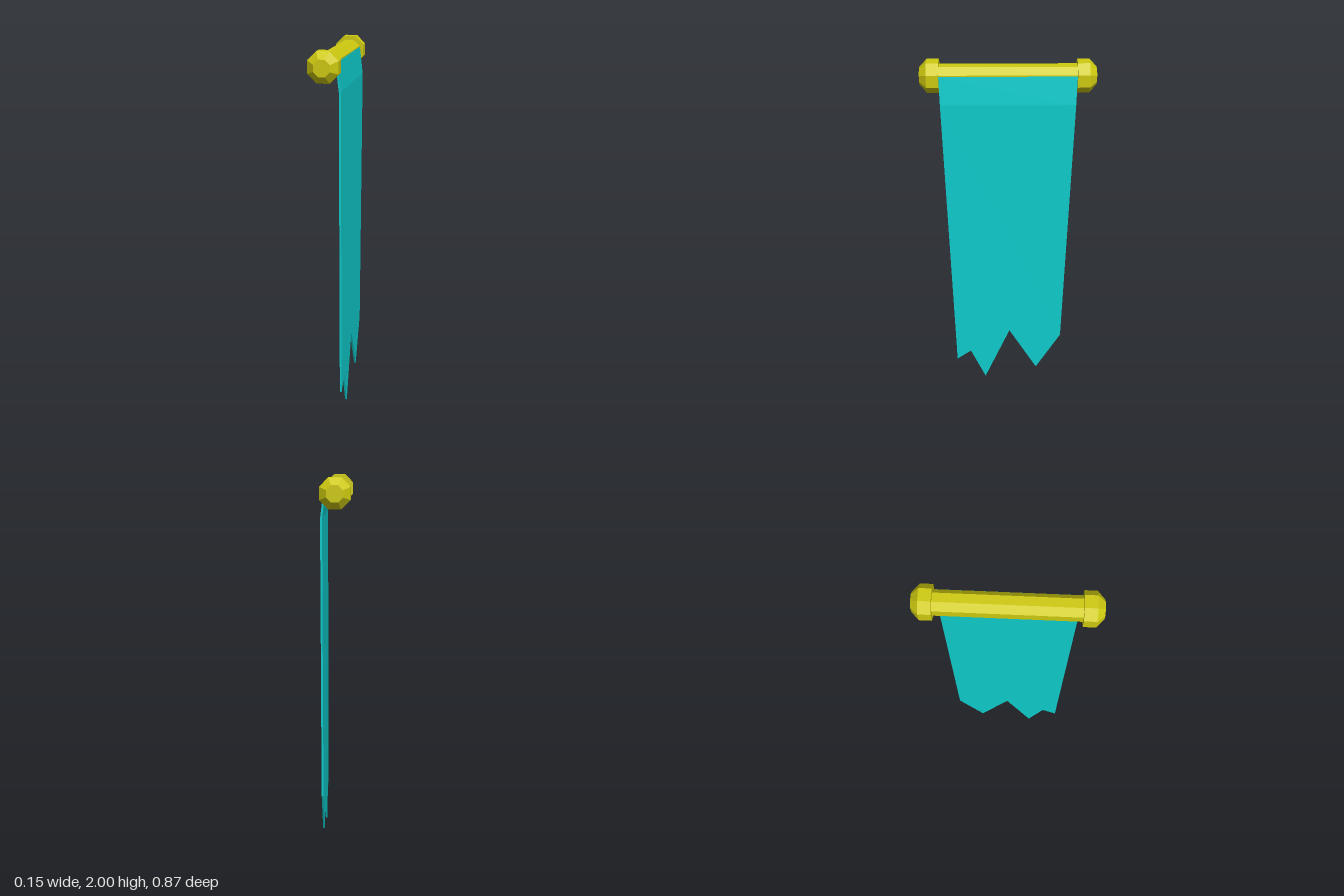
import * as THREE from 'three';

const ROD_Y = 1.925;
const OCT = Math.cos(Math.PI / 8); // flat-to-corner ratio of an octagon

export function createModel() {
  const group = new THREE.Group();
  const gold = new THREE.MeshStandardMaterial({ color: 0xcfcb10, flatShading: true });
  const teal = new THREE.MeshStandardMaterial({ color: 0x0fcccc, flatShading: true });

  const add = (name, geometry, material) => {
    const mesh = new THREE.Mesh(geometry, material);
    mesh.name = name;
    group.add(mesh);
    return mesh;
  };

  // Octagonal rod along z, flat side up
  const rod = new THREE.CylinderGeometry(0.055 / OCT, 0.055 / OCT, 0.7, 8);
  rod.rotateY(Math.PI / 8).rotateX(Math.PI / 2);
  add('rod', rod, gold).position.y = ROD_Y;

  // Chamfered octagonal knobs on both ends
  const profile = [[0, 0.34], [0.0765 / OCT, 0.34], [0.0765 / OCT, 0.4], [0.041 / OCT, 0.436], [0, 0.436]]
    .map(([r, y]) => new THREE.Vector2(r, y));
  for (const [name, side] of [['frontKnob', 1], ['backKnob', -1]]) {
    const knob = new THREE.LatheGeometry(profile, 8, Math.PI / 8);
    knob.rotateX(side * Math.PI / 2);
    add(name, knob, gold).position.y = ROD_Y;
  }

  // Thin cloth panel from [z, y] outline points; above the fold it leans in to the rod
  const FOLD = 1.8;
  const panel = (points) => {
    const shape = new THREE.Shape(points.map(([z, y]) => new THREE.Vector2(-z, y)));
    const geometry = new THREE.ExtrudeGeometry(shape, { depth: 0.01, bevelEnabled: false });
    geometry.rotateY(Math.PI / 2);
    const pos = geometry.attributes.position;
    for (let i = 0; i < pos.count; i++) {
      const lean = Math.max(0, pos.getY(i) - FOLD) * 0.12;
      pos.setX(i, pos.getX(i) + 0.065 - lean);
    }
    geometry.computeVertexNormals();
    return geometry;
  };

  // Upper strip fixed to the rod
  add('clothTop', panel([[0.34, 1.942], [0.337, FOLD], [-0.337, FOLD], [-0.34, 1.942]]), teal);

  // Hanging cloth with torn lower edge
  add('cloth', panel([
    [0.337, FOLD], [0.304, 0.14], [0.222, 0.203], [0.137, 0], [-0.008, 0.36],
    [-0.168, 0.075], [-0.307, 0.325], [-0.337, FOLD],
  ]), teal);

  return group;
}
